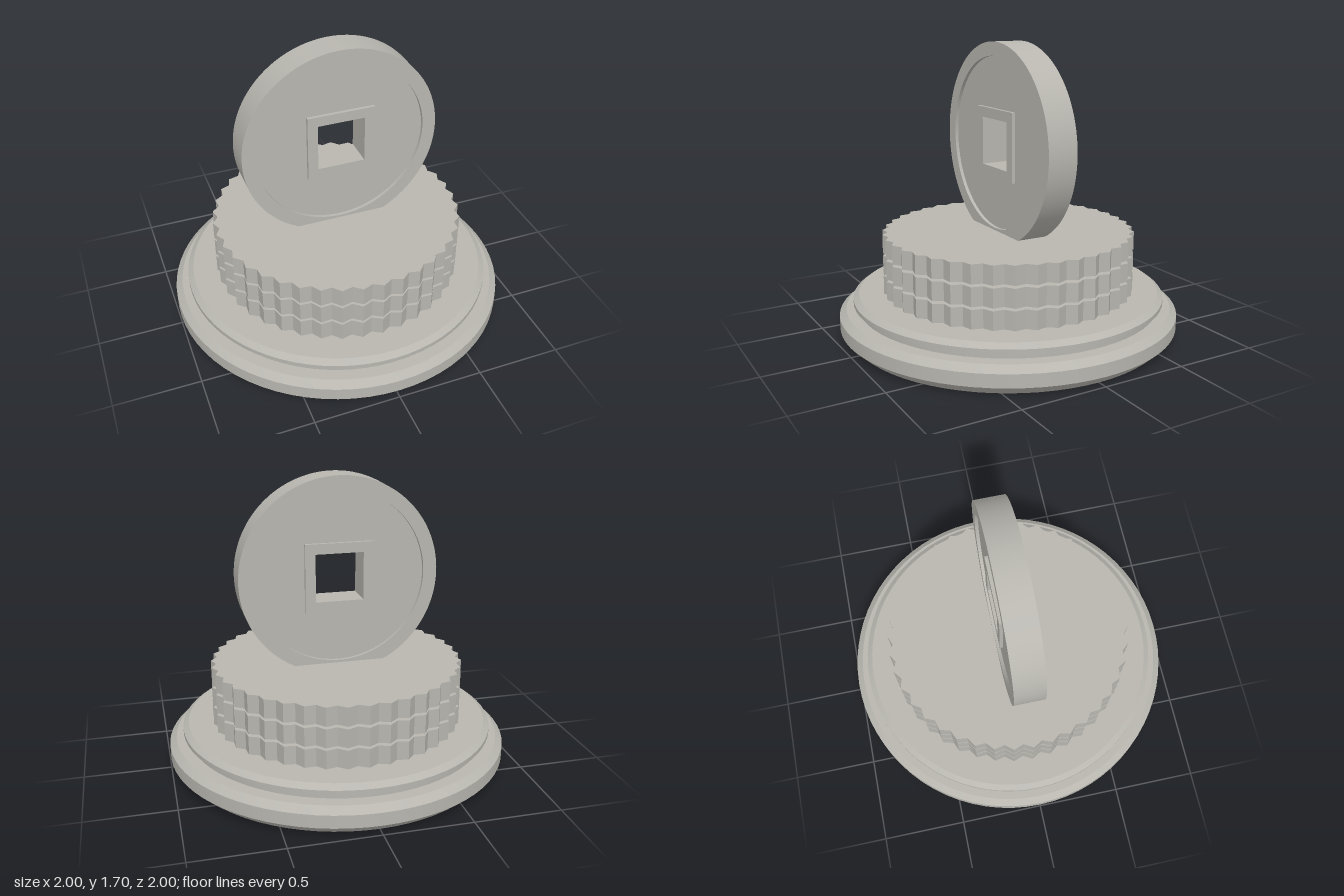
import * as THREE from 'three';
import { toCreasedNormals } from 'three/addons/utils/BufferGeometryUtils.js';

const stone = new THREE.MeshStandardMaterial({ color: 0xb8b6af });
stone.name = 'warmGrey';

function part(name, geometry, crease = 0.35) {
  const mesh = new THREE.Mesh(toCreasedNormals(geometry, crease), stone);
  mesh.name = name;
  return mesh;
}

function circle(Type, r) {
  return new Type().absarc(0, 0, r, 0, Math.PI * 2, false);
}

function square(Type, h) {
  const pts = [[-h, -h], [h, -h], [h, h], [-h, h]].map(([x, y]) => new THREE.Vector2(x, y));
  return new Type(pts);
}

// Extrusion centred on z = 0
function slab(shape, depth, hole) {
  if (hole) shape.holes.push(hole);
  const g = new THREE.ExtrudeGeometry(shape, { depth, bevelEnabled: false, curveSegments: 72 });
  return g.translate(0, 0, -depth / 2);
}

// Zigzag outline of a serrated disc
function serrated(teeth, outer, inner) {
  const pts = [];
  for (let i = 0; i < teeth * 2; i++) {
    const a = (i / (teeth * 2)) * Math.PI * 2;
    const r = i % 2 ? inner : outer;
    pts.push(new THREE.Vector2(Math.cos(a) * r, Math.sin(a) * r));
  }
  return new THREE.Shape(pts);
}

export function createModel() {
  const model = new THREE.Group();
  model.name = 'coinStatue';

  // Turned base: chamfered foot, narrow neck and upper flange
  const profile = [
    [0, 0], [0.94, 0], [1, 0.055], [1, 0.13], [0.96, 0.165], [0.89, 0.165],
    [0.89, 0.19], [0.918, 0.2], [0.918, 0.225], [0.885, 0.25], [0, 0.25],
  ].map(([x, y]) => new THREE.Vector2(x, y));
  model.add(part('base', new THREE.LatheGeometry(profile, 72)));

  // Drum: three serrated layers around a plain core
  const drum = new THREE.Group();
  drum.name = 'drum';
  const core = part('drumCore', new THREE.CylinderGeometry(0.67, 0.67, 0.34, 64));
  core.position.y = 0.42;
  drum.add(core);
  for (let i = 0; i < 3; i++) {
    const layer = part('serratedLayer', slab(serrated(40, 0.74, 0.71), 0.108), 0.1);
    layer.rotation.x = -Math.PI / 2;
    layer.position.y = 0.304 + i * 0.1235;
    drum.add(layer);
  }
  model.add(drum);

  // Upright coin: raised rim, recessed face and raised frame round a square hole
  const coin = new THREE.Group();
  coin.name = 'coin';
  coin.add(
    part('coinRim', slab(circle(THREE.Shape, 0.58), 0.18, circle(THREE.Path, 0.5))),
    part('coinFace', slab(circle(THREE.Shape, 0.5), 0.14, square(THREE.Path, 0.2))),
    part('holeFrame', slab(square(THREE.Shape, 0.2), 0.18, square(THREE.Path, 0.14))),
  );
  coin.position.y = 1.12;
  model.add(coin);

  return model;
}
